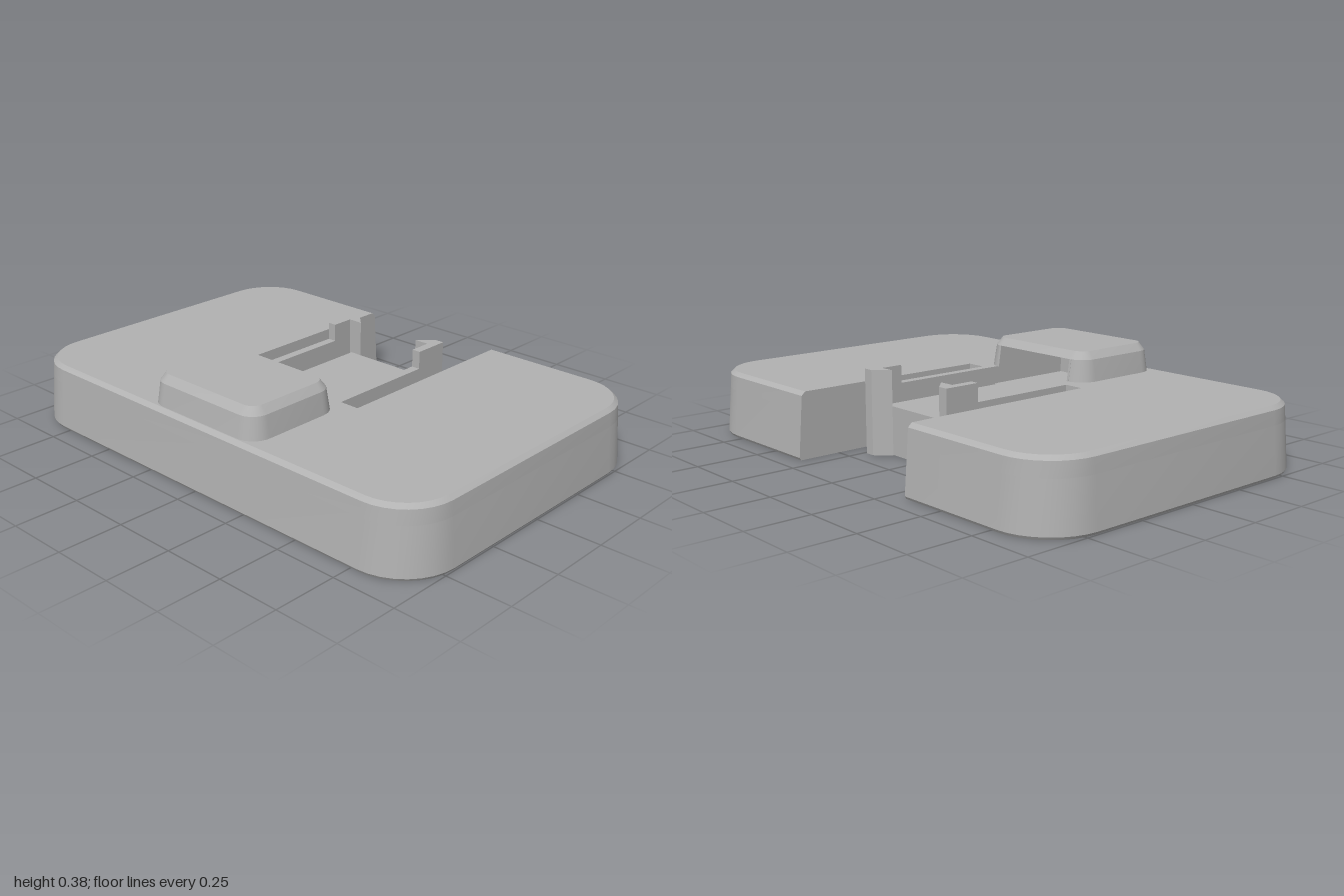
import * as THREE from 'three';
import { toCreasedNormals } from 'three/addons/utils/BufferGeometryUtils.js';

// Rounded rectangle as [x, z] points; half is the +z half of a cut in the +x side (null x = on the edge)
function ring({ x0, x1, z, r }, inset, half = []) {
  const points = [];
  const [a, b, c] = [x0 + inset, x1 - inset, z - inset];
  const rad = r - inset;
  const centres = [[b - rad, c - rad], [a + rad, c - rad], [a + rad, rad - c], [b - rad, rad - c]];
  centres.forEach(([cx, cz], k) => {
    for (let i = 0; i <= 8; i++) {
      const t = (k + i / 8) * Math.PI / 2;
      points.push([cx + rad * Math.cos(t), cz + rad * Math.sin(t)]);
    }
  });
  const cut = half.map(([x, w]) => [x === null ? b : x, w]);
  return [...points, ...cut.map(([x, w]) => [x, -w]), ...cut.reverse()];
}

// Wall through stacked loops: levels of [y, points]
function wall(levels) {
  const pos = [];
  for (let l = 0; l < levels.length - 1; l++) {
    const [y0, low] = levels[l];
    const [y1, high] = levels[l + 1];
    low.forEach((p, i) => {
      const j = (i + 1) % low.length;
      const a = [p[0], y0, p[1]], b = [low[j][0], y0, low[j][1]];
      const c = [high[i][0], y1, high[i][1]], d = [high[j][0], y1, high[j][1]];
      pos.push(...a, ...c, ...b, ...b, ...c, ...d);
    });
  }
  const geo = new THREE.BufferGeometry();
  geo.setAttribute('position', new THREE.Float32BufferAttribute(pos, 3));
  return toCreasedNormals(geo, 0.4);
}

// Flat face at height y, looking up (1) or down (-1)
function cap(points, y, side, holes = []) {
  const flat = (list) => list.map(([x, z]) => new THREE.Vector2(x, -side * z));
  const shape = new THREE.Shape(flat(points));
  shape.holes = holes.map((h) => new THREE.Path(flat(h)));
  return new THREE.ShapeGeometry(shape).rotateX(-side * Math.PI / 2).translate(0, y, 0);
}

const polygon = (x, z, r, n) => Array.from({ length: n }, (_, i) => {
  const t = i / n * Math.PI * 2;
  return [x + r * Math.cos(t), z + r * Math.sin(t)];
});

const mirror = (points) => points.map(([x, z]) => [x, -z]).reverse();

export function createModel() {
  const model = new THREE.Group();
  const grey = new THREE.MeshStandardMaterial({ color: 0xb2b2b2, side: THREE.DoubleSide });
  grey.name = 'grey';
  const add = (name, ...geos) => {
    const group = new THREE.Group();
    group.name = name;
    geos.forEach((g) => group.add(new THREE.Mesh(g, grey)));
    model.add(group);
  };

  const body = { x0: -0.675, x1: 0.675, z: 1, r: 0.22 };
  const floorY = 0.19, topY = 0.26, backX = -0.58;

  // Side cut with two spring arms; below the floor it also frames the tongue
  const arms = [[null, 0.32], [-0.165, 0.32], [-0.165, 0.24], [0.425, 0.24], [0.425, 0.2], [0.37, 0.145], [0.37, 0.205]];
  const lowerCut = [...arms, [-0.2, 0.205], [-0.2, 0.19], [0.365, 0.19]];
  const upperCut = [...arms, [backX, 0.205]];

  // Underside pockets: hexagonal sockets and round feet recesses
  const hexes = [[0.12, 0], [-0.47, 0]];
  const feet = [];
  for (const s of [-1, 1]) {
    hexes.push([0.41, s * 0.505], [0.12, s * 0.675], [-0.17, s * 0.505], [-0.47, s * 0.335]);
    feet.push([0.52, s * 0.85], [-0.52, s * 0.85]);
  }
  const pockets = [
    ...hexes.map(([x, z]) => ({ name: 'hexSocket', loop: polygon(x, z, 0.165, 6), depth: 0.15 })),
    ...feet.map(([x, z]) => ({ name: 'footRecess', loop: polygon(x, z, 0.1, 32), depth: 0.035 })),
  ];
  for (const { name, loop, depth } of pockets) {
    const inward = [...loop].reverse();
    add(name, wall([[0, inward], [depth, inward]]), cap(loop, depth, -1));
  }

  // Body with tapered sides and a bevelled rim
  const lower = [[0, 0.006], [0.01, 0], [floorY, 0.014]].map(([y, i]) => [y, ring(body, i, lowerCut)]);
  const upper = [[floorY, 0.014], [0.245, 0.018], [topY, 0.034]].map(([y, i]) => [y, ring(body, i, upperCut)]);
  add('lowerBody', wall(lower), cap(lower[0][1], 0, -1, pockets.map((p) => p.loop)));
  add('upperBody', wall(upper), cap(upper[2][1], topY, 1));

  // Sunken channel floor running onto the tongue
  const channel = [[backX, 0.205], [-0.2, 0.205], [-0.2, 0.19], [0.365, 0.19]];
  add('channelFloor', cap([...channel, ...mirror(channel)], floorY, 1));

  // Raised hooks at the arm tips
  const hook = [[0.28, 0.205], [0.37, 0.205], [0.37, 0.145], [0.425, 0.2], [0.425, 0.24], [0.28, 0.24]];
  for (const [name, loop] of [['leftHook', hook], ['rightHook', mirror(hook)]]) {
    add(name, wall([[topY, loop], [0.33, loop]]), cap(loop, 0.33, 1));
  }

  // Hollow cover over the channel end, open towards the hooks
  const cover = { x0: -0.637, x1: -0.213, z: 0.275, r: 0.08 };
  const mouth = [[null, 0.205], [backX, 0.205]];
  const lidY = 0.345;
  const lid = [[lidY, 0.013], [0.375, 0.036]].map(([y, i]) => [y, ring(cover, i)]);
  add('coverWalls', wall([[topY, ring(cover, 0, mouth)], [lidY, ring(cover, 0.013, mouth)]]));
  add('coverLid', wall(lid), cap(lid[0][1], lidY, -1), cap(lid[1][1], 0.375, 1));

  return model;
}
